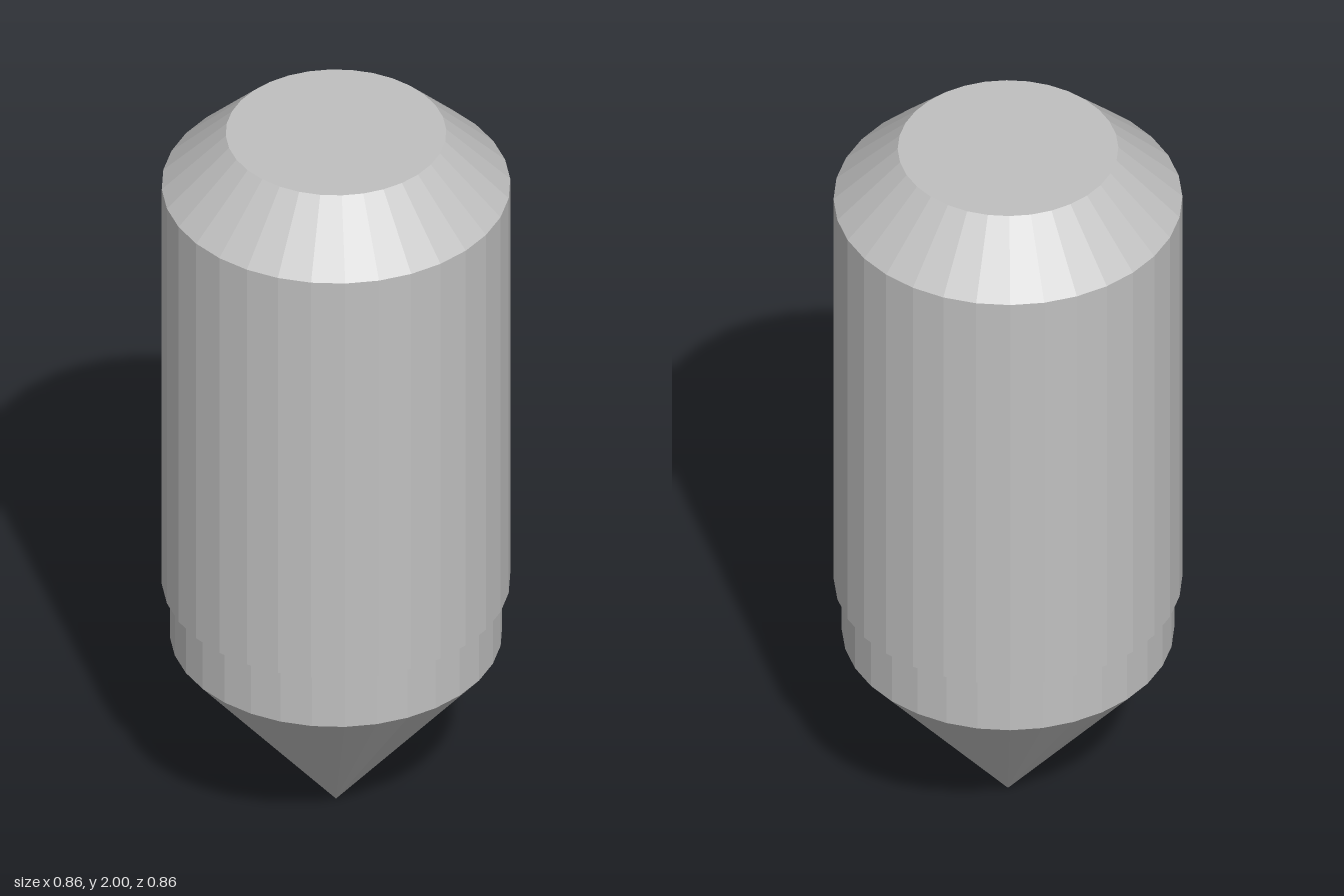
import * as THREE from 'three';

const SEGMENTS = 32;

export function createModel() {
  const model = new THREE.Group();
  model.name = 'pointedPin';
  const steel = new THREE.MeshStandardMaterial({ color: 0xc0c0c0, flatShading: true });
  steel.name = 'steel grey';

  // Revolves a bottom-to-top [radius, height] profile around the y axis
  const turn = (name, profile) => {
    const points = profile.map(([r, y]) => new THREE.Vector2(r, y));
    const mesh = new THREE.Mesh(new THREE.LatheGeometry(points, SEGMENTS), steel);
    mesh.name = name;
    model.add(mesh);
  };

  // Pointed tip
  turn('tip', [[0, 0], [0.41, 0.5]]);
  // Slightly narrower band above the tip
  turn('collar', [[0.41, 0.5], [0.41, 0.66]]);
  // Main barrel with the small ledge underneath
  turn('body', [[0.41, 0.66], [0.43, 0.66], [0.43, 1.845]]);
  // Bevelled shoulder and flat end
  turn('chamferedEnd', [[0.43, 1.845], [0.272, 2], [0, 2]]);

  return model;
}
